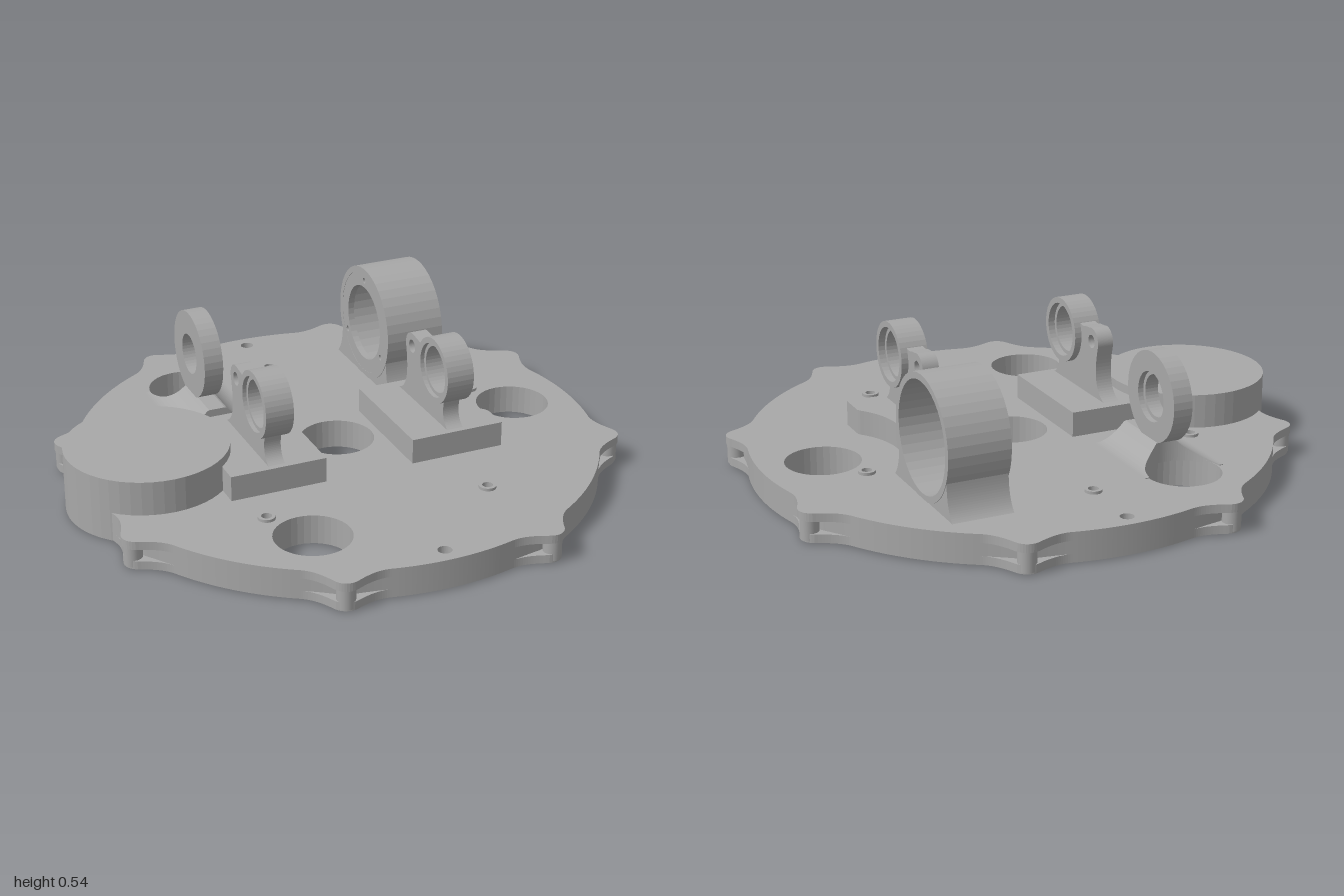
import * as THREE from 'three';

const grey = new THREE.MeshStandardMaterial({ color: 0xa8a8a8 });
grey.name = 'plain grey';

const CUP = { x: -0.61, z: -0.355, r: 0.285 };
const LUG0 = THREE.MathUtils.degToRad(7.1);
const BIG_HOLES = [[0, 0], [0, -0.705], [0.61, 0.35], [-0.61, 0.35]];
const BOSSES = [[0.315, -0.55], [-0.315, -0.55], [0.61, 0.16], [-0.61, 0.16], [0, 0.63]];
const NUTS = [[0.43, -0.75], [-0.435, 0.745]];

function add(parent, name, geometry, x = 0, y = 0, z = 0) {
  const mesh = new THREE.Mesh(geometry, grey);
  mesh.name = name;
  mesh.position.set(x, y, z);
  parent.add(mesh);
  return mesh;
}

const circle = (x, y, r) => new THREE.Path().absarc(x, y, r, 0, Math.PI * 2, false);
const disc = (x, y, r) => new THREE.Shape().absarc(x, y, r, 0, Math.PI * 2, false);

// Shape drawn in x, z and raised from y0 to y1
function raise(shape, y0, y1) {
  return new THREE.ExtrudeGeometry(shape, { depth: y1 - y0, bevelEnabled: false, curveSegments: 18 })
    .rotateX(Math.PI / 2).translate(0, y1, 0);
}

// Upright shape in x, y with thickness from z0 to z1
function upright(shape, z0, z1) {
  return new THREE.ExtrudeGeometry(shape, { depth: z1 - z0, bevelEnabled: false, curveSegments: 20 })
    .translate(0, 0, z0);
}

function ring(x, y, outer, holes) {
  const s = disc(x, y, outer);
  s.holes.push(...holes);
  return s;
}

// Plate outline: circle, eight flared lugs and a bulge around the cup
function plateShape(flare) {
  const points = [];
  const d = Math.hypot(CUP.x, CUP.z), cupAngle = Math.atan2(CUP.z, CUP.x), step = Math.PI / 4;
  const n = 720;
  for (let i = 0; i < n; i++) {
    const a = (i / n) * Math.PI * 2;
    const off = a - LUG0 - Math.round((a - LUG0) / step) * step;
    const s = Math.abs(off) * 0.95;
    let r = 0.925;
    if (s < 0.035) r += flare * (0.075 - 12 * s * s);
    else if (s < 0.15) r += flare * 0.06 * ((0.15 - s) / 0.115) ** 2;
    const side = d * Math.sin(a - cupAngle), R = CUP.r - 0.002;
    if (Math.abs(side) < R && Math.cos(a - cupAngle) > 0) {
      r = Math.max(r, d * Math.cos(a - cupAngle) + Math.sqrt(R * R - side * side));
    }
    points.push(new THREE.Vector2(r * Math.cos(a), r * Math.sin(a)));
  }
  const shape = new THREE.Shape(points);
  BIG_HOLES.forEach(([x, z]) => shape.holes.push(circle(x, z, 0.132)));
  BOSSES.forEach(([x, z]) => shape.holes.push(circle(x, z, 0.018)));
  NUTS.forEach(([x, z]) => shape.holes.push(circle(x, z, 0.024)));
  shape.holes.push(circle(CUP.x, CUP.z, CUP.r - 0.018));
  return shape;
}

// All brackets share the same heading
function bracket(parent, name, x, z) {
  const g = new THREE.Group();
  g.name = name;
  g.position.set(x, 0, z);
  g.rotation.y = Math.PI / 3;
  parent.add(g);
  return g;
}

// Block with one scooped side, a web with an ear, and a small ring
function smallBracket(parent, name, x, z, side, scoop) {
  const g = bracket(parent, name, x, z);
  const L = 0.225, W = 0.1725;
  const plan = [new THREE.Vector2(-L, -side * W), new THREE.Vector2(L, -side * W)];
  for (let i = 0; i <= 40; i++) {
    const u = L - (i / 40) * 2 * L;
    const q = scoop * scoop - (u - 0.065) ** 2;
    const w = q > 0 ? Math.min(W, 0.37 - Math.sqrt(q)) : W;
    plan.push(new THREE.Vector2(u, side * w));
  }
  add(g, 'bracketBase', raise(new THREE.Shape(plan), 0.1, 0.2));

  const cu = -0.11, cy = 0.392;
  const web = new THREE.Shape();
  web.moveTo(-0.215, 0.195);
  web.quadraticCurveTo(-0.15, 0.22, -0.175, 0.3);
  web.lineTo(-0.215, 0.37);
  web.lineTo(-0.195, 0.46);
  web.lineTo(-0.11, 0.5);
  web.lineTo(-0.03, 0.46);
  web.quadraticCurveTo(0.0, 0.43, 0.04, 0.445);
  web.absarc(0.085, 0.4, 0.05, Math.PI * 0.6, -0.25, true);
  web.quadraticCurveTo(0.09, 0.22, 0.2, 0.195);
  web.holes.push(circle(cu, cy, 0.083), circle(0.085, 0.4, 0.024));
  add(g, 'web', upright(web, -0.03, 0.03));
  add(g, 'smallRing', upright(ring(cu, cy, 0.118, [circle(cu, cy, 0.097)]), -0.045, 0.055));
}

// Concave foot under the medium ring, cut away around the plate hole
function flaredFoot() {
  const pos = [], n = 40, W = 0.15, y0 = 0.1;
  const row = i => {
    const w = -W + (2 * W * i) / n;
    const t = Math.min(1, (W - Math.abs(w)) / 0.115);
    const q = 0.132 ** 2 - w * w;
    return { w, h: 0.113 + 0.065 * t * t, e: q > 0 ? 0.18 - Math.sqrt(q) : 0.18 };
  };
  const quad = (a, b, c, d) => pos.push(...a, ...b, ...c, ...a, ...c, ...d);
  for (let i = 0; i < n; i++) {
    const a = row(i), b = row(i + 1), s = -0.18;
    quad([s, a.h, a.w], [s, b.h, b.w], [b.e, b.h, b.w], [a.e, a.h, a.w]);
    quad([a.e, a.h, a.w], [b.e, b.h, b.w], [b.e, y0, b.w], [a.e, y0, a.w]);
    quad([s, y0, a.w], [s, y0, b.w], [s, b.h, b.w], [s, a.h, a.w]);
  }
  const g = new THREE.BufferGeometry();
  g.setAttribute('position', new THREE.Float32BufferAttribute(pos, 3));
  g.computeVertexNormals();
  return g;
}

export function createModel() {
  const model = new THREE.Group();
  model.name = 'mountingPlate';

  // Plate in three layers, the middle one set back at the lugs
  add(model, 'plateTop', raise(plateShape(1), 0.08, 0.11));
  add(model, 'plateMiddle', raise(plateShape(0.2), 0.035, 0.08));
  add(model, 'plateBottom', raise(plateShape(0.9), 0.005, 0.035));
  for (let i = 0; i < 8; i++) {
    const a = LUG0 + (i * Math.PI) / 4;
    add(model, 'lugPin', new THREE.CylinderGeometry(0.032, 0.032, 0.09, 16),
      0.965 * Math.cos(a), 0.055, 0.965 * Math.sin(a));
  }

  // Bosses and hexagonal nuts around the screw holes
  BOSSES.forEach(([x, z]) =>
    add(model, 'screwBoss', raise(ring(0, 0, 0.03, [circle(0, 0, 0.018)]), 0.1, 0.12), x, 0, z));
  NUTS.forEach(([x, z]) => {
    const hex = new THREE.Shape();
    for (let i = 0; i < 6; i++) {
      const a = (i * Math.PI) / 3;
      hex[i ? 'lineTo' : 'moveTo'](0.045 * Math.cos(a), 0.045 * Math.sin(a));
    }
    hex.holes.push(circle(0, 0, 0.024));
    add(model, 'hexNut', raise(hex, 0, 0.02), x, 0, z);
  });

  // Round cup, open underneath
  const cupProfile = [[0, 0.215], [0.265, 0.215], [0.265, 0.005], [0.285, 0.005], [0.285, 0.232], [0, 0.232]]
    .map(p => new THREE.Vector2(...p));
  const cup = new THREE.LatheGeometry(cupProfile, 48).toNonIndexed();
  cup.computeVertexNormals();
  add(model, 'cup', cup, CUP.x, 0, CUP.z);

  // Two matching small brackets
  smallBracket(model, 'rightBracket', -0.325, -0.115, -1, 0.283);
  smallBracket(model, 'leftBracket', 0.255, 0.22, 1, 0.27);

  // Medium ring at the back
  const back = bracket(model, 'backBracket', -0.09, -0.555);
  add(back, 'flaredFoot', flaredFoot());
  add(back, 'mediumRing', upright(ring(0, 0.325, 0.16, [circle(0, 0.325, 0.074)]), -0.035, 0.015));
  add(back, 'mediumRingStep', upright(ring(0, 0.325, 0.16, [circle(0, 0.325, 0.088)]), 0.015, 0.035));

  // Large ring with a drilled flange at its inner end
  const big = bracket(model, 'largeBracket', 0.585, -0.18);
  const cy = 0.32;
  add(big, 'largeRing', upright(ring(0, cy, 0.215, [circle(0, cy, 0.192)]), -0.11, 0.11));
  const flangeHoles = [circle(0, cy, 0.142)];
  for (let i = 0; i < 3; i++) {
    const a = Math.PI / 2 + (i * Math.PI * 2) / 3;
    flangeHoles.push(circle(0.168 * Math.cos(a), cy + 0.168 * Math.sin(a), 0.011));
  }
  add(big, 'flange', upright(ring(0, cy, 0.2, flangeHoles), -0.109, -0.085));
  const saddle = new THREE.Shape();
  saddle.moveTo(-0.24, 0.108);
  saddle.lineTo(0.24, 0.108);
  saddle.quadraticCurveTo(0.19, 0.15, 0.195, 0.26);
  saddle.absarc(0, cy, 0.205, -0.3, -Math.PI + 0.3, true);
  saddle.quadraticCurveTo(-0.19, 0.15, -0.24, 0.108);
  add(big, 'saddle', upright(saddle, -0.108, 0.108));

  return model;
}
